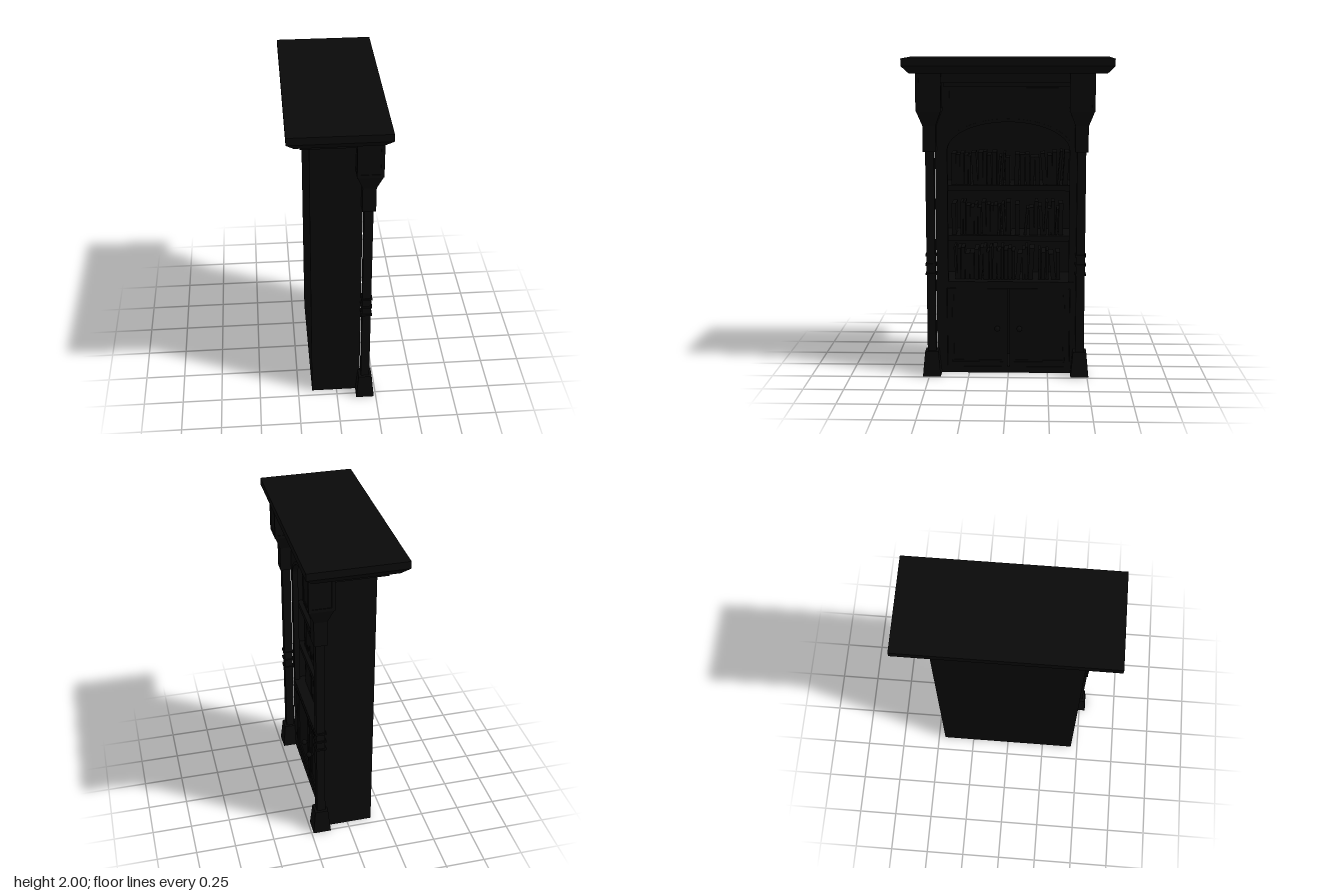
import * as THREE from 'three';

const wood = new THREE.MeshStandardMaterial({ color: 0x0a0a0a });

function add(parent, name, geometry, x = 0, y = 0, z = 0) {
  const mesh = new THREE.Mesh(geometry, wood);
  mesh.name = name;
  mesh.position.set(x, y, z);
  parent.add(mesh);
  return mesh;
}

// Box given by its limits
function block(parent, name, x0, x1, y0, y1, z0, z1) {
  return add(parent, name, new THREE.BoxGeometry(x1 - x0, y1 - y0, z1 - z0),
    (x0 + x1) / 2, (y0 + y1) / 2, (z0 + z1) / 2);
}

// Box whose bottom and top have different half sizes
function tapered(parent, name, y0, y1, bottom, top, x = 0, z = 0) {
  const g = new THREE.BoxGeometry(2, y1 - y0, 2);
  const p = g.attributes.position;
  for (let i = 0; i < p.count; i++) {
    const [hx, hz] = p.getY(i) < 0 ? bottom : top;
    p.setX(i, p.getX(i) * hx);
    p.setZ(i, p.getZ(i) * hz);
  }
  g.computeVertexNormals();
  return add(parent, name, g, x, (y0 + y1) / 2, z);
}

// Opening with straight sides and an elliptical head
function archPath(path, half, y0, spring, rise) {
  path.moveTo(-half, y0);
  path.lineTo(half, y0);
  path.lineTo(half, spring);
  path.absellipse(0, spring, half, rise, 0, Math.PI, false);
  path.lineTo(-half, y0);
  return path;
}

function rectPath(path, x0, x1, y0, y1) {
  path.moveTo(x0, y0);
  path.lineTo(x1, y0);
  path.lineTo(x1, y1);
  path.lineTo(x0, y1);
  path.closePath();
  return path;
}

const extrude = (shape, depth) =>
  new THREE.ExtrudeGeometry(shape, { depth, bevelEnabled: false, curveSegments: 24 });

function rectFrame(parent, name, x0, x1, y0, y1, z, width, depth) {
  const s = rectPath(new THREE.Shape(), x0, x1, y0, y1);
  s.holes.push(rectPath(new THREE.Path(), x0 + width, x1 - width, y0 + width, y1 - width));
  return add(parent, name, extrude(s, depth), 0, 0, z);
}

function buildCarcass(g) {
  for (const s of [-1, 1]) {
    const a = s * 0.455, b = s * 0.41;
    block(g, 'sidePanel', Math.min(a, b), Math.max(a, b), 0, 1.91, -0.16, 0.12);
  }
  block(g, 'backPanel', -0.41, 0.41, 0, 1.91, -0.16, -0.13);
  block(g, 'floorPanel', -0.41, 0.41, 0, 0.04, -0.13, 0.12);
  block(g, 'topPanel', -0.41, 0.41, 1.66, 1.91, -0.13, 0.12);

  // Face frame with arched shelf opening and door opening
  const face = rectPath(new THREE.Shape(), -0.455, 0.455, 0, 1.91);
  face.holes.push(archPath(new THREE.Path(), 0.38, 0.6, 1.43, 0.18));
  face.holes.push(rectPath(new THREE.Path(), -0.39, 0.39, 0.04, 0.555));
  add(g, 'faceFrame', extrude(face, 0.03), 0, 0, 0.12);

  const trim = archPath(new THREE.Shape(), 0.4, 0.6, 1.43, 0.2);
  trim.holes.push(archPath(new THREE.Path(), 0.38, 0.601, 1.43, 0.18));
  add(g, 'archTrim', extrude(trim, 0.006), 0, 0, 0.15);

  block(g, 'counter', -0.41, 0.41, 0.56, 0.6, -0.13, 0.158);
  for (const y of [0.89, 1.21]) block(g, 'shelf', -0.41, 0.41, y - 0.035, y, -0.13, 0.118);
}

function buildDoors(g) {
  for (const s of [-1, 1]) {
    const x0 = s < 0 ? -0.388 : 0.006, x1 = x0 + 0.382;
    const door = new THREE.Group();
    door.name = 'door';
    block(door, 'doorPanel', x0, x1, 0.042, 0.553, 0.115, 0.135);
    rectFrame(door, 'doorFrame', x0, x1, 0.042, 0.553, 0.135, 0.03, 0.015);
    rectFrame(door, 'doorMoulding', x0 + 0.03, x1 - 0.03, 0.072, 0.523, 0.135, 0.01, 0.008);
    const stem = add(door, 'knobStem', new THREE.CylinderGeometry(0.008, 0.008, 0.03, 12), s * 0.07, 0.295, 0.145);
    stem.rotation.x = Math.PI / 2;
    add(door, 'knob', new THREE.SphereGeometry(0.018, 16, 12), s * 0.07, 0.295, 0.165);
    g.add(door);
  }
}

function buildColumn(g, x) {
  const c = new THREE.Group();
  c.name = 'column';
  c.position.set(x, 0, 0.18);
  tapered(c, 'columnBase', 0, 0.16, [0.057, 0.057], [0.042, 0.042]);
  tapered(c, 'columnShaft', 0.16, 1.43, [0.027, 0.027], [0.027, 0.027]);
  for (const y of [0.66, 0.72, 0.78]) {
    tapered(c, 'columnRing', y - 0.006, y + 0.006, [0.034, 0.034], [0.034, 0.034]);
  }
  tapered(c, 'capitalNeck', 1.43, 1.59, [0.04, 0.04], [0.04, 0.04]);
  tapered(c, 'capitalFlare', 1.59, 1.68, [0.04, 0.04], [0.074, 0.074]);
  tapered(c, 'capitalBlock', 1.68, 1.91, [0.073, 0.073], [0.073, 0.073]);
  // Raised borders on the capital faces
  for (let i = 0; i < 4; i++) {
    const side = new THREE.Group();
    side.name = 'capitalBorder';
    side.rotation.y = i * Math.PI / 2;
    rectFrame(side, 'border', -0.077, 0.077, 1.68, 1.91, 0.073, 0.02, 0.004);
    c.add(side);
  }
  g.add(c);
}

function buildCornice(g) {
  tapered(g, 'topSlab', 1.955, 2, [0.6425, 0.295], [0.6425, 0.295]);
  tapered(g, 'slabChamfer', 1.91, 1.955, [0.6, 0.25], [0.6425, 0.295]);
  block(g, 'corniceMoulding', -0.51, 0.51, 1.85, 1.91, -0.215, 0.205);
  block(g, 'friezeBead', -0.4, 0.4, 1.828, 1.85, 0.15, 0.175);
  rectFrame(g, 'friezePanel', -0.375, 0.375, 1.665, 1.82, 0.15, 0.012, 0.005);
}

function buildBooks(g) {
  let seed = 7;
  const rand = (a, b) => {
    seed = (seed * 16807) % 2147483647;
    return a + (b - a) * seed / 2147483647;
  };
  for (const [y, from, to] of [[0.6, -0.35, 0.34], [0.89, -0.36, 0.35], [1.21, -0.36, 0.37]]) {
    let x = from;
    while (x < to - 0.03) {
      const w = rand(0.014, 0.032), h = rand(0.165, 0.215), d = rand(0.13, 0.16);
      const lean = rand(0, 1) < 0.3 ? rand(-0.1, 0.1) : 0;
      const spread = Math.abs(Math.sin(lean)) * h;
      const book = add(g, 'book', new THREE.BoxGeometry(w, h, d), x + (w + spread) / 2,
        y + (h * Math.cos(lean) + w * Math.abs(Math.sin(lean))) / 2, 0.09 - d / 2);
      book.rotation.z = lean;
      x += w + spread * 0.8 + 0.002;
      // Occasional gap in the row
      if (rand(0, 1) < 0.08) x += 0.025;
    }
  }
}

export function createModel() {
  const model = new THREE.Group();
  model.name = 'bookcase';
  const body = new THREE.Group();
  body.name = 'cabinet';
  buildCarcass(body);
  buildDoors(body);
  for (const x of [-0.484, 0.452]) buildColumn(body, x);
  buildCornice(body);
  buildBooks(body);
  // The shelves open toward +x
  body.rotation.y = Math.PI / 2;
  model.add(body);
  return model;
}
